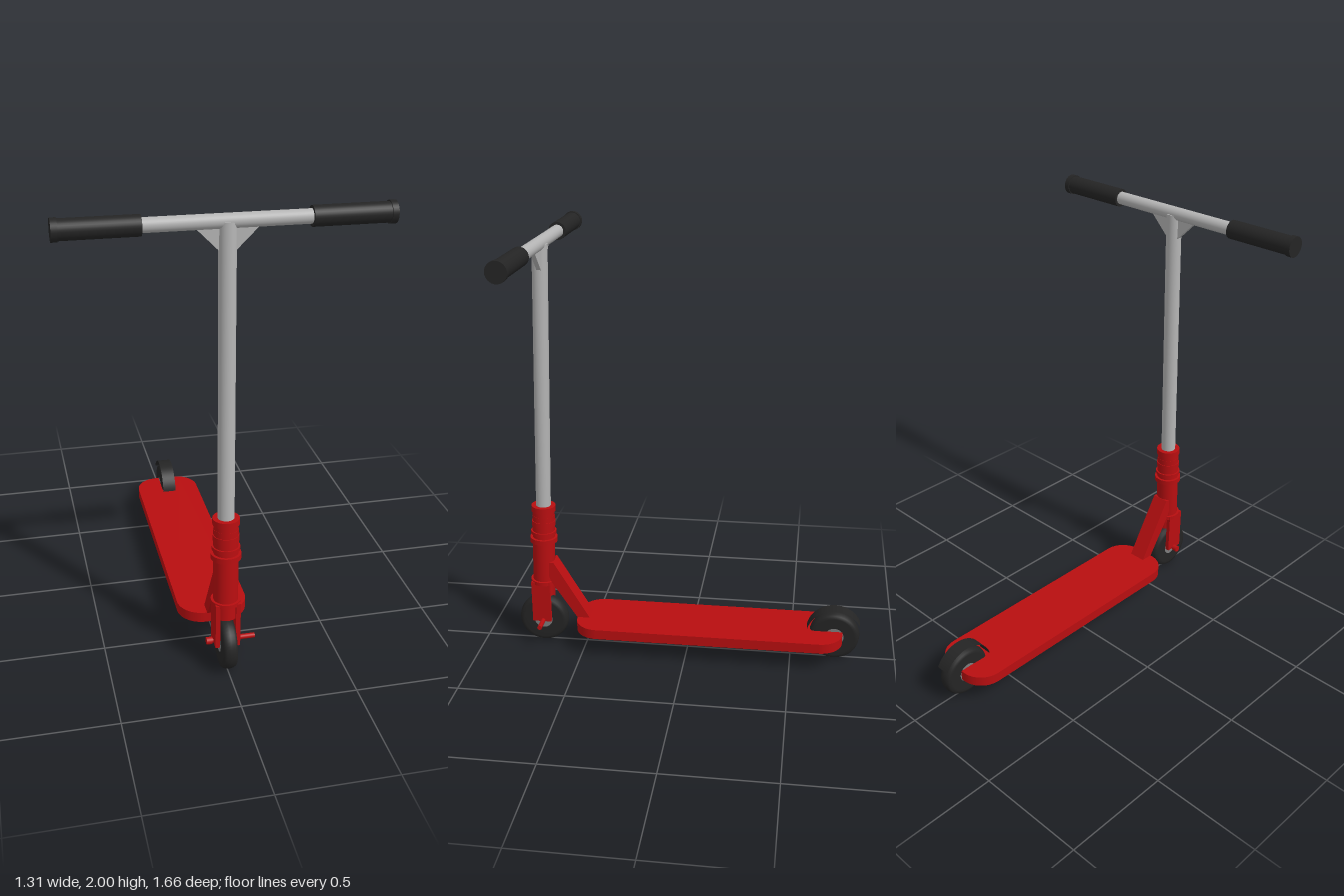
import * as THREE from 'three';

const mat = (name, color, extra = {}) => {
  const m = new THREE.MeshStandardMaterial({ color, ...extra });
  m.name = name;
  return m;
};

export function createModel() {
  const red = mat('red paint', 0xb80e10);
  const silver = mat('silver metal', 0xb4b4b4);
  const black = mat('black rubber', 0x242424);
  const fenderBlack = mat('black fender', 0x242424, { side: THREE.DoubleSide });
  const hubGrey = mat('grey hub', 0x7c7c7c);

  const model = new THREE.Group();
  model.name = 'kickScooter';
  const add = (parent, name, geometry, material, x = 0, y = 0, z = 0) => {
    const mesh = new THREE.Mesh(geometry, material);
    mesh.name = name;
    mesh.position.set(x, y, z);
    parent.add(mesh);
    return mesh;
  };
  const cyl = (r, h) => new THREE.CylinderGeometry(r, r, h, 32);
  const cylX = (r, h) => cyl(r, h).rotateZ(Math.PI / 2);

  // Deck: rounded plate lying flat
  const w = 0.157, f = 0.535, b = -0.745, r = 0.11;
  const deck = new THREE.Shape();
  deck.moveTo(-w + r, b);
  deck.lineTo(w - r, b);
  deck.absarc(w - r, b + r, r, -Math.PI / 2, 0);
  deck.absarc(w - r, f - r, r, 0, Math.PI / 2);
  deck.absarc(-w + r, f - r, r, Math.PI / 2, Math.PI);
  deck.absarc(-w + r, b + r, r, Math.PI, Math.PI * 1.5);
  const deckGeo = new THREE.ExtrudeGeometry(deck, { depth: 0.048, bevelEnabled: false, curveSegments: 12 });
  add(model, 'deck', deckGeo.rotateX(Math.PI / 2), red, 0, 0.148, 0);

  // Neck: sloping block from deck to head tube, drawn in (z, y)
  const neck = new THREE.Shape([[0.465, 0.13], [0.535, 0.13], [0.535, 0.145], [0.66, 0.335], [0.69, 0.43], [0.645, 0.435]]
    .map(([z, y]) => new THREE.Vector2(-z, y)));
  const neckGeo = new THREE.ExtrudeGeometry(neck, { depth: 0.083, bevelEnabled: false });
  add(model, 'neck', neckGeo.translate(0, 0, -0.0415).rotateY(Math.PI / 2), red);

  // Wheels: rounded tyre ring with a hub
  const tyre = [[0.045, -0.031], [0.095, -0.032], [0.11, -0.029], [0.117, -0.018], [0.12, 0],
    [0.117, 0.018], [0.11, 0.029], [0.095, 0.032], [0.045, 0.031]].map(([x, y]) => new THREE.Vector2(x, y));
  for (const [name, z] of [['frontWheel', 0.71], ['rearWheel', -0.707]]) {
    const wheel = new THREE.Group();
    wheel.name = name;
    wheel.position.set(0, 0.12, z);
    add(wheel, 'tyre', new THREE.LatheGeometry(tyre, 48).rotateZ(Math.PI / 2), black);
    add(wheel, 'hub', cylX(0.046, 0.06), hubGrey);
    model.add(wheel);
  }

  // Rear fender: thin curved sheet over the wheel
  const start = THREE.MathUtils.degToRad(12), sweep = THREE.MathUtils.degToRad(142);
  const fender = new THREE.CylinderGeometry(0.133, 0.133, 0.066, 32, 1, true, start, sweep);
  // local z becomes forward and local x becomes up
  fender.rotateZ(Math.PI / 2);
  add(model, 'rearFender', fender, fenderBlack, 0, 0.125, -0.707);

  // Fork legs and front axle
  for (const s of [-1, 1]) {
    add(model, 'forkLeg', new THREE.BoxGeometry(0.02, 0.21, 0.09), red, s * 0.044, 0.225, 0.711);
  }
  add(model, 'frontAxle', cylX(0.011, 0.2), red, 0.03, 0.125, 0.705);
  add(model, 'axleHead', cylX(0.016, 0.025), red, -0.071, 0.125, 0.705);

  // Leaning steering column, measured upward from the front axle
  const steering = new THREE.Group();
  steering.name = 'steeringColumn';
  steering.position.set(0, 0.12, 0.71);
  steering.rotation.x = -0.034;
  model.add(steering);
  add(steering, 'forkCrown', cyl(0.05, 0.09), red, 0, 0.175, 0);
  add(steering, 'headTube', cyl(0.053, 0.36), red, 0, 0.37, 0);
  add(steering, 'clamp', cyl(0.052, 0.13), red, 0, 0.53, 0);
  for (const [y, radius, h] of [[0.205, 0.064, 0.018], [0.425, 0.065, 0.024], [0.462, 0.06, 0.016],
    [0.51, 0.056, 0.025], [0.585, 0.057, 0.028]]) {
    add(steering, 'headsetRing', cyl(radius, h), red, 0, y, 0);
  }
  add(steering, 'steererTube', cyl(0.035, 1.25), silver, 0, 1.21, 0);

  // Handlebar with grips and corner gussets
  const bar = new THREE.Group();
  bar.name = 'handlebar';
  bar.position.set(0, 1.955, 0.648);
  model.add(bar);
  add(bar, 'crossbar', cylX(0.029, 1.28), silver);
  for (const s of [-1, 1]) {
    add(bar, 'grip', cylX(0.041, 0.33), black, s * 0.49, 0, 0);
    add(bar, 'gripCollar', cylX(0.045, 0.025), black, s * 0.6425, 0, 0);
    const tri = new THREE.Shape([[0.02, -0.015], [0.02, -0.125], [0.125, -0.02]]
      .map(([x, y]) => new THREE.Vector2(s * x, y)));
    const gusset = new THREE.ExtrudeGeometry(tri, { depth: 0.02, bevelEnabled: false });
    add(bar, 'gusset', gusset, silver, 0, 0, -0.01);
  }
  return model;
}
